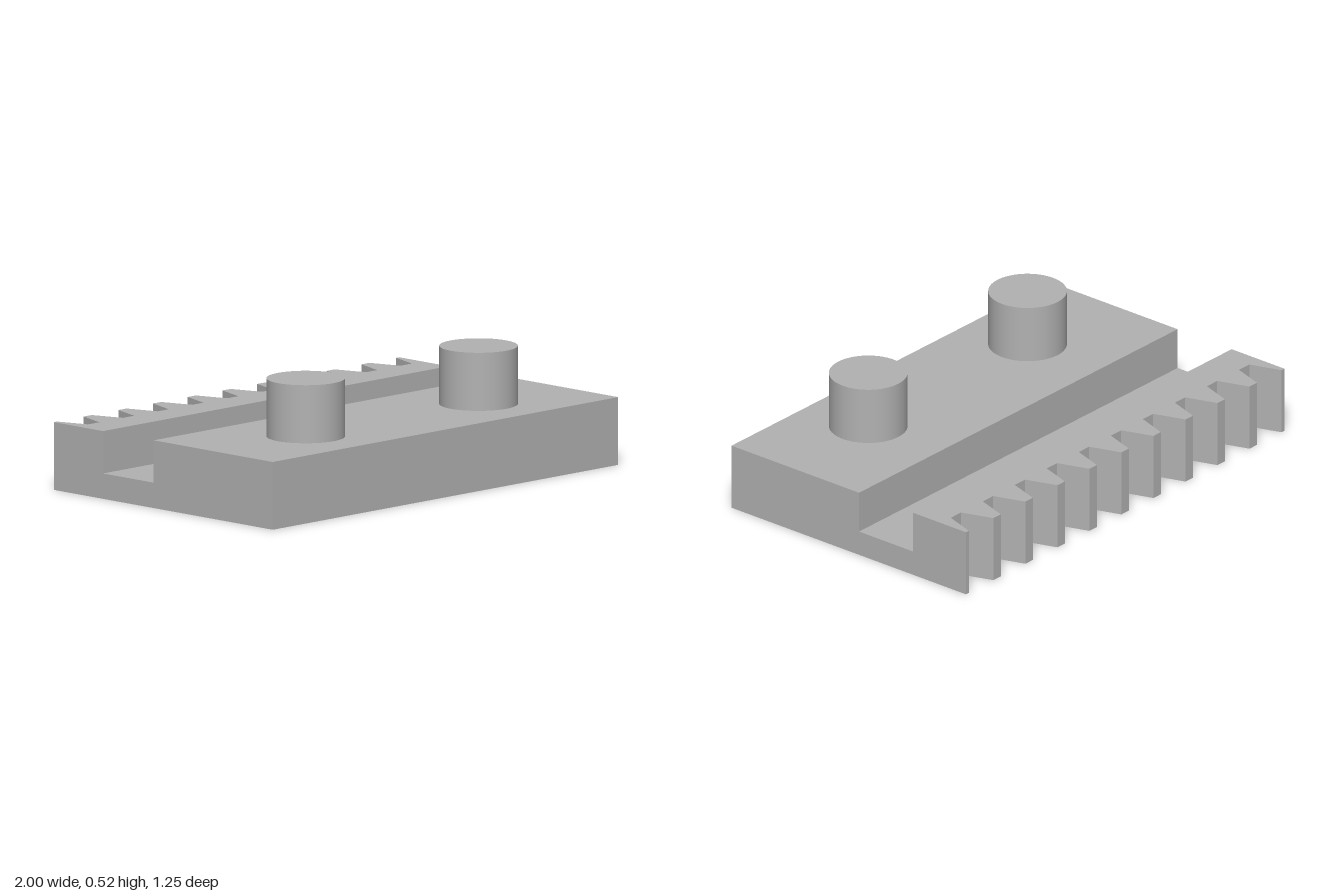
import * as THREE from 'three';

const HALF = 1, TOP = 0.28, FLOOR = 0.105;
const FRONT = 0.624, GROOVE_FRONT = -0.055, GROOVE_BACK = -0.343;
const ROOT = -0.49, TIP = -0.624;
const PITCH = 0.201, TIP_HALF = 0.0235, ROOT_HALF = 0.068;

function extrude(points, depth) {
  const shape = new THREE.Shape(points.map(([x, y]) => new THREE.Vector2(x, y)));
  return new THREE.ExtrudeGeometry(shape, { depth, bevelEnabled: false });
}

export function createModel() {
  const group = new THREE.Group();
  const grey = new THREE.MeshStandardMaterial({ color: 0xb2b2b2 });
  grey.name = 'plain grey';
  const add = (name, geometry) => {
    const mesh = new THREE.Mesh(geometry, grey);
    mesh.name = name;
    group.add(mesh);
    return mesh;
  };

  // Front block and groove floor: a stepped z-y section swept along x
  const base = extrude([
    [GROOVE_BACK, 0], [FRONT, 0], [FRONT, TOP],
    [GROOVE_FRONT, TOP], [GROOVE_FRONT, FLOOR], [GROOVE_BACK, FLOOR],
  ], 2 * HALF);
  base.rotateY(-Math.PI / 2).translate(HALF, 0, 0);
  add('baseBlock', base);

  // Toothed rail: plan outline with end teeth cut off at the sides
  const outline = [[-HALF, -GROOVE_BACK], [HALF, -GROOVE_BACK]];
  const endTip = 5 * PITCH - TIP_HALF, endRoot = 5 * PITCH - ROOT_HALF;
  outline.push([HALF, -TIP], [endTip, -TIP], [endRoot, -ROOT]);
  for (let i = 4; i >= -4; i--) {
    const x = i * PITCH;
    outline.push([x + ROOT_HALF, -ROOT], [x + TIP_HALF, -TIP],
      [x - TIP_HALF, -TIP], [x - ROOT_HALF, -ROOT]);
  }
  outline.push([-endRoot, -ROOT], [-endTip, -TIP], [-HALF, -TIP]);
  add('toothedRail', extrude(outline, TOP).rotateX(-Math.PI / 2));

  // Two round pegs standing on the front block
  for (const [name, x] of [['leftPeg', 0.5], ['rightPeg', -0.5]]) {
    const peg = add(name, new THREE.CylinderGeometry(0.16, 0.16, 0.24, 64));
    peg.position.set(x, TOP + 0.12, 0.32);
  }

  return group;
}
